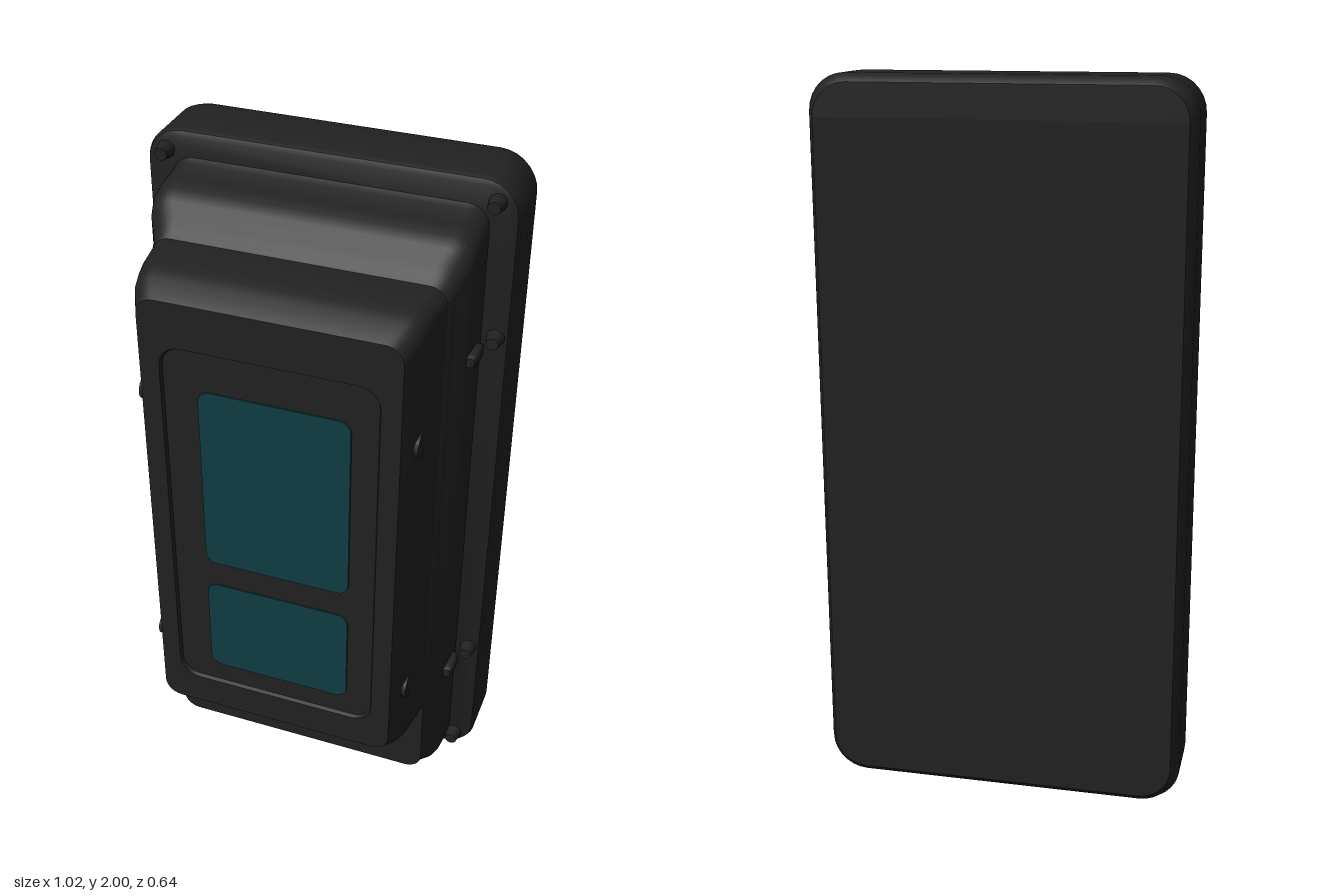
import * as THREE from 'three';
import { toCreasedNormals } from 'three/addons/utils/BufferGeometryUtils.js';

const paint = (name, color) => {
  const m = new THREE.MeshStandardMaterial({ color });
  m.name = name;
  return m;
};

// Closed loft through rounded rectangles: [z, half width, bottom y, top y, corner radius]
function loft(sections, steps = 7) {
  const pos = [], idx = [], n = 4 * (steps + 1);
  for (const [z, w, y0, y1, r] of sections) {
    const corners = [[w - r, y1 - r], [r - w, y1 - r], [r - w, y0 + r], [w - r, y0 + r]];
    corners.forEach(([cx, cy], q) => {
      for (let k = 0; k <= steps; k++) {
        const a = (q + k / steps) * Math.PI / 2;
        pos.push(cx + r * Math.cos(a), cy + r * Math.sin(a), z);
      }
    });
  }
  const last = (sections.length - 1) * n;
  for (let i = 0; i < last; i += n) {
    for (let j = 0; j < n; j++) {
      const k = (j + 1) % n;
      idx.push(i + j, i + k, i + n + k, i + j, i + n + k, i + n + j);
    }
  }
  for (let j = 1; j < n - 1; j++) {
    idx.push(0, j + 1, j, last, last + j, last + j + 1);
  }
  const g = new THREE.BufferGeometry();
  g.setAttribute('position', new THREE.Float32BufferAttribute(pos, 3));
  g.setIndex(idx);
  return toCreasedNormals(g, 0.6);
}

export function createModel() {
  const model = new THREE.Group();
  const casing = paint('charcoal casing', 0x212121);
  const slotDark = paint('dark slot', 0x171717);
  const glass = paint('teal screen', 0x0f3c43);

  const add = (name, geometry, material, x = 0, y = 0, z = 0) => {
    const mesh = new THREE.Mesh(geometry, material);
    mesh.name = name;
    mesh.position.set(x, y, z);
    model.add(mesh);
    return mesh;
  };

  // Rear slab with chamfered edges
  add('backPlate', loft([
    [-0.32, 0.49, 0.022, 1.978, 0.09],
    [-0.305, 0.502, 0.006, 1.994, 0.1],
    [-0.28, 0.512, 0, 2, 0.1],
    [-0.125, 0.512, 0, 2, 0.1],
    [-0.112, 0.506, 0.006, 1.994, 0.095],
    [-0.105, 0.49, 0.02, 1.98, 0.08],
  ]), casing);

  // Stepped housing: shoulder, lower shelf, tapered front and recessed panel
  add('housing', loft([
    [-0.11, 0.435, 0.045, 1.93, 0.06],
    [-0.09, 0.44, 0.05, 1.915, 0.06],
    [-0.02, 0.44, 0.055, 1.905, 0.06],
    [0.02, 0.438, 0.06, 1.895, 0.06],
    [0.05, 0.43, 0.065, 1.875, 0.06],
    [0.075, 0.415, 0.075, 1.845, 0.06],
    [0.092, 0.408, 0.085, 1.815, 0.055],
    [0.112, 0.402, 0.09, 1.803, 0.05],
    [0.114, 0.40, 0.325, 1.80, 0.05],
    [0.2, 0.39, 0.332, 1.795, 0.05],
    [0.24, 0.384, 0.336, 1.786, 0.05],
    [0.27, 0.378, 0.343, 1.775, 0.05],
    [0.32, 0.355, 0.362, 1.74, 0.05],
    [0.32, 0.3, 0.46, 1.61, 0.06],
    [0.31, 0.295, 0.465, 1.605, 0.055],
  ]), casing);

  // Screens on the recessed panel
  const screen = (name, y0, y1) =>
    add(name, loft([[0.308, 0.212, y0, y1, 0.035], [0.314, 0.21, y0, y1, 0.033]]), glass, 0.011);
  screen('upperScreen', 0.92, 1.49);
  screen('lowerScreen', 0.53, 0.84);

  // Card slot on the lower shelf
  add('slotGroove', loft([[0.108, 0.238, 0.13, 0.258, 0.02], [0.114, 0.238, 0.13, 0.258, 0.02]]), slotDark);
  add('slotFrame', loft([[0.108, 0.232, 0.136, 0.252, 0.016], [0.117, 0.23, 0.138, 0.25, 0.015]]), casing);
  add('slotOpening', new THREE.BoxGeometry(0.38, 0.04, 0.006), slotDark, -0.01, 0.183, 0.115);
  add('slotLip', new THREE.BoxGeometry(0.3, 0.022, 0.008), casing, -0.005, 0.175, 0.117);

  const boltShape = new THREE.CylinderGeometry(0.018, 0.026, 0.045, 14).rotateX(Math.PI / 2);
  const screwShape = new THREE.CylinderGeometry(0.032, 0.035, 0.02, 16).rotateZ(Math.PI / 2);
  const clipShape = loft([
    [-0.055, 0.016, -0.012, 0.012, 0.008],
    [-0.04, 0.02, -0.02, 0.02, 0.01],
    [0.02, 0.02, -0.02, 0.02, 0.01],
    [0.032, 0.014, -0.014, 0.014, 0.008],
  ], 4);

  for (const s of [-1, 1]) {
    // Bolts on the back plate rim
    for (const [x, y] of [[0.452, 1.94], [0.475, 1.555], [0.475, 0.445], [0.452, 0.062]]) {
      add('rimBolt', boltShape, casing, s * x, y, -0.09);
    }
    // Side clips and flush screws
    for (const y of [1.55, 0.445]) add('sideClip', clipShape, casing, s * 0.441, y, 0);
    for (const y of [1.42, 0.57]) add('sideScrew', screwShape, casing, s * 0.378, y, 0.245);
  }
  return model;
}
